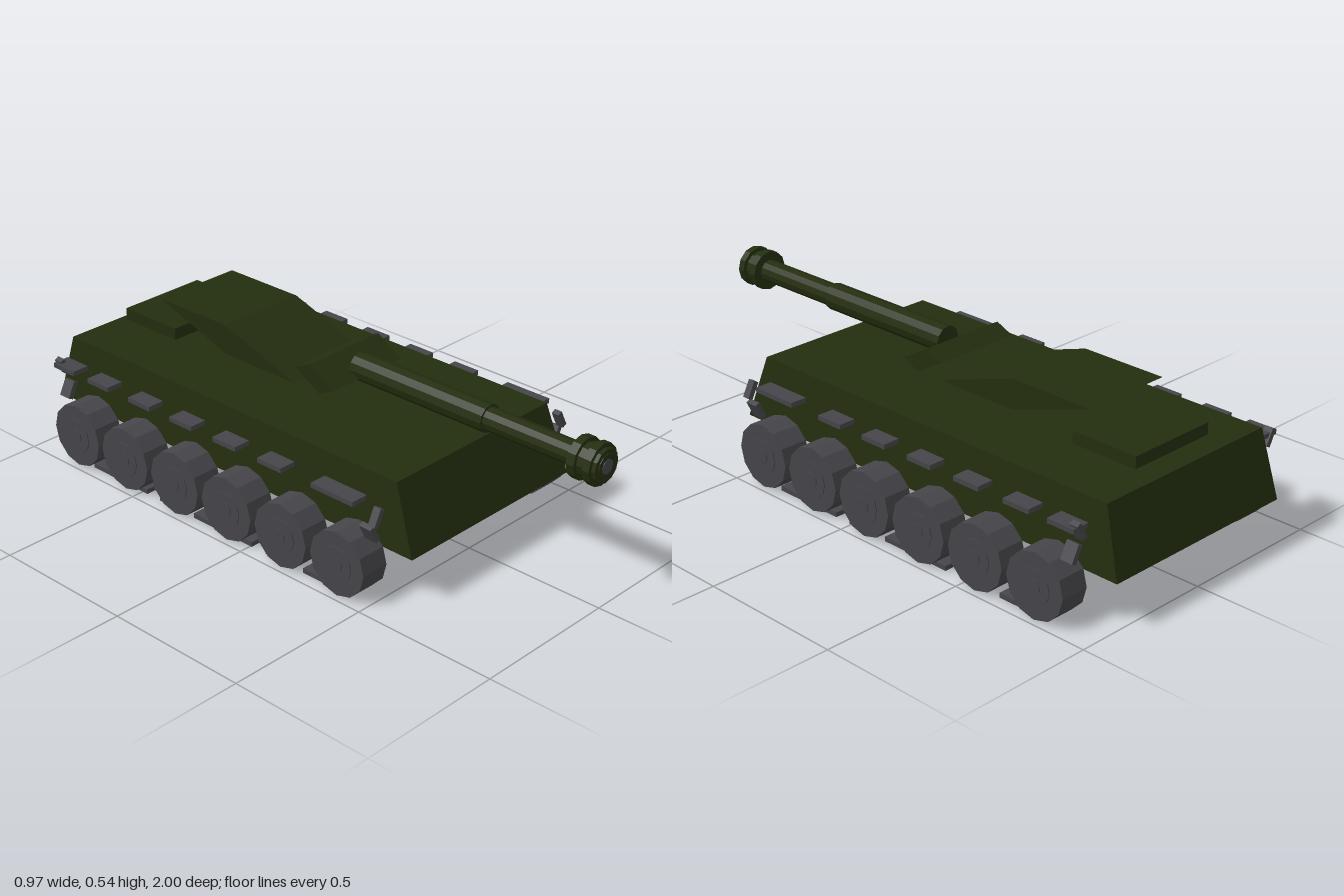
import * as THREE from 'three';

const olive = new THREE.MeshStandardMaterial({ color: 0x232d0e });
olive.name = 'olive';
const grey = new THREE.MeshStandardMaterial({ color: 0x45454a });
grey.name = 'darkGrey';

function add(parent, name, geometry, material) {
  const flat = geometry.index ? geometry.toNonIndexed() : geometry;
  flat.computeVertexNormals();
  const mesh = new THREE.Mesh(flat, material);
  mesh.name = name;
  parent.add(mesh);
  return mesh;
}

// Side profile of [z, y] points, extruded across x
function prism(profile, width) {
  const shape = new THREE.Shape(profile.map(([z, y]) => new THREE.Vector2(z, y)));
  const geometry = new THREE.ExtrudeGeometry(shape, { depth: width, bevelEnabled: false });
  return geometry.translate(0, 0, -width / 2).rotateY(-Math.PI / 2);
}

// Cylinder along z between two positions
function barrelPart(parent, name, radius, z0, z1, material = olive) {
  const geometry = new THREE.CylinderGeometry(radius, radius, z1 - z0, 12);
  geometry.rotateX(Math.PI / 2).translate(0, 0.476, (z0 + z1) / 2);
  return add(parent, name, geometry, material);
}

function createRunningGear(side) {
  const gear = new THREE.Group();
  gear.name = side > 0 ? 'leftRunningGear' : 'rightRunningGear';

  // Road wheels with raised hub rings
  for (let i = 0; i < 6; i++) {
    const wheel = new THREE.Group();
    wheel.name = 'roadWheel';
    wheel.position.set(side * 0.428, 0.111, 0.389 - i * 0.236);
    [['tyre', 0.109, 0.1], ['hubRing', 0.06, 0.106], ['hubCap', 0.025, 0.112]].forEach(([name, r, w]) => {
      add(wheel, name, new THREE.CylinderGeometry(r, r, w, 12).rotateZ(Math.PI / 2), grey);
    });
    gear.add(wheel);
  }

  // Track links along the top and the ground
  const link = (z, y) => {
    const mesh = add(gear, 'trackLink', new THREE.BoxGeometry(0.06, 0.016, 0.1), grey);
    mesh.position.set(side * 0.427, y, z);
  };
  [0.385, 0.315, 0.09, -0.106, -0.302, -0.497, -0.695, -0.865].forEach((z) => link(z, 0.321));
  for (let i = 0; i < 7; i++) link(0.279 - i * 0.161, 0.011);

  // Twisted links at both ends
  const ends = [
    [0.5, 0.292, 0.027, 1], [0.475, 0.232, 0.045, -1],
    [-0.905, 0.312, 0.03, -1], [-0.882, 0.235, 0.045, 1],
  ];
  ends.forEach(([z, y, depth, lean]) => {
    const mesh = add(gear, 'endLink', new THREE.BoxGeometry(0.06, 0.018, depth), grey);
    mesh.position.set(side * 0.427, y, z);
    mesh.rotation.z = -side * lean * 1.1;
  });
  return gear;
}

export function createModel() {
  const model = new THREE.Group();
  model.name = 'tank';

  // Hull, with sides leaning in towards the deck
  const hull = prism([[-1, 0.155], [0.587, 0.155], [0.508, 0.379], [-0.94, 0.379]], 0.732);
  const p = hull.attributes.position;
  for (let i = 0; i < p.count; i++) {
    if (p.getY(i) > 0.3) p.setX(i, p.getX(i) * 0.952);
  }
  add(model, 'hull', hull, olive);

  // Slanted turret, tilted mantlet and rear deck box
  add(model, 'turret', prism([[-0.4, 0.427], [-0.09, 0.427], [-0.4, 0.528], [-0.705, 0.528]], 0.322), olive);
  add(model, 'mantlet', prism([[0.01, 0.425], [0.07, 0.453], [-0.03, 0.511], [-0.095, 0.483]], 0.314), olive);
  add(model, 'rearDeckBox', new THREE.BoxGeometry(0.324, 0.04, 0.24).translate(0, 0.419, -0.762), olive);

  // Gun and muzzle brake
  const gun = new THREE.Group();
  gun.name = 'gun';
  barrelPart(gun, 'barrelSleeve', 0.046, 0.035, 0.565);
  barrelPart(gun, 'barrel', 0.038, 0.5, 0.92);
  barrelPart(gun, 'muzzleCore', 0.055, 0.91, 0.995);
  barrelPart(gun, 'muzzleRing', 0.068, 0.9, 0.928);
  barrelPart(gun, 'muzzleRing', 0.068, 0.957, 0.982);
  barrelPart(gun, 'muzzleLip', 0.04, 0.985, 0.998);
  barrelPart(gun, 'bore', 0.024, 0.99, 1, grey);
  model.add(gun);

  model.add(createRunningGear(1), createRunningGear(-1));
  return model;
}
